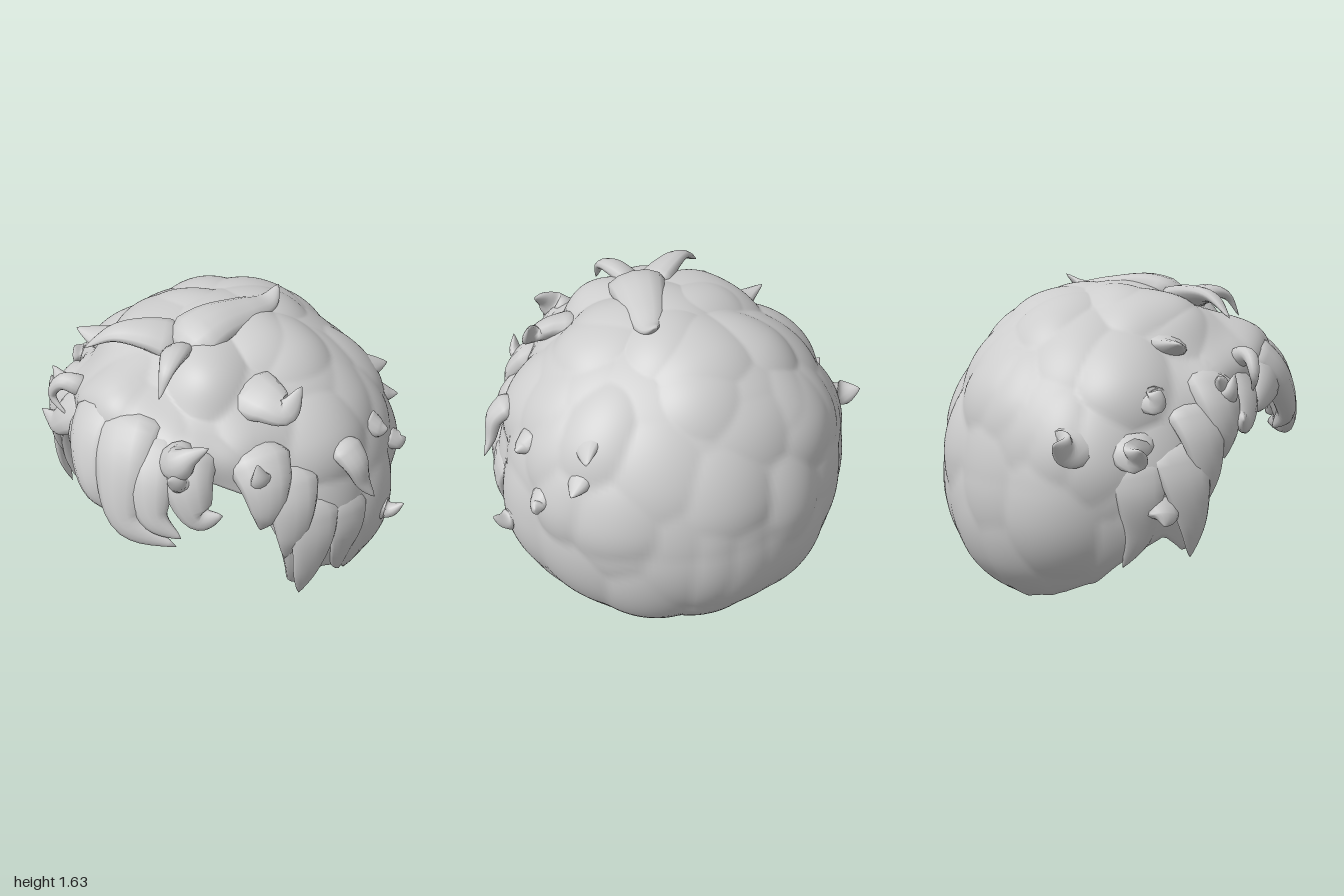
import * as THREE from 'three';
import { mergeVertices } from 'three/addons/utils/BufferGeometryUtils.js';

const C = new THREE.Vector3(0, 0.72, -0.08); // middle of the head
const R = new THREE.Vector3(0.88, 0.85, 0.81); // shell radii before the locks swell it
const V = (p) => new THREE.Vector3(...p);

// Grid of points (closed around each row) turned into a smooth surface
function skin(rows) {
  const n = rows[0].length, pos = [], idx = [];
  rows.forEach((row) => row.forEach((p) => pos.push(p.x, p.y, p.z)));
  for (let i = 0; i < rows.length - 1; i++) {
    for (let j = 0; j < n; j++) {
      const a = i * n + j, b = i * n + ((j + 1) % n);
      idx.push(a, b, a + n, b, b + n, a + n);
    }
  }
  const g = new THREE.BufferGeometry();
  g.setAttribute('position', new THREE.Float32BufferAttribute(pos, 3));
  g.setIndex(idx);
  const m = mergeVertices(g, 1e-4);
  m.computeVertexNormals();
  return m;
}

// Height of the hairline by angle from the front, in degrees
const RIM = [[0, 1.06], [30, 1.04], [44, 0.97], [51, 0.74], [56, 0.43], [60, 0.4], [68, 0.5],
  [84, 0.34], [92, 0.24], [105, 0.17], [120, 0.12], [135, 0.07], [160, 0.035], [180, 0.015]];
function rimTheta(phi) {
  const d = Math.abs(phi) * 180 / Math.PI;
  let i = 0;
  while (i < RIM.length - 2 && d > RIM[i + 1][0]) i++;
  const [a, ya] = RIM[i], [b, yb] = RIM[i + 1];
  const y = ya + (yb - ya) * (d - a) / (b - a) + 0.012 * Math.abs(Math.sin(phi * 8)) * Math.sin(d * Math.PI / 180);
  return Math.acos((y - C.y) / R.y);
}

// Overlapping locks: a dome around each scattered seed, steeper at its lower tip
const seeds = [];
const COUNT = 105;
for (let k = 0; k < COUNT; k++) {
  const y = 1 - (k + 0.5) * 2 / COUNT, r = Math.sqrt(1 - y * y), a = k * 2.39996 + 0.4 * Math.sin(k * 7.1);
  const dir = new THREE.Vector3(r * Math.sin(a), y, r * Math.cos(a));
  const side = new THREE.Vector3(Math.cos(a), 0, -Math.sin(a));
  const down = new THREE.Vector3().crossVectors(dir, side);
  if (down.y > 0) down.negate();
  const h = (0.045 + 0.02 * Math.max(0, dir.z + 0.3 * y)) * (0.9 + 0.35 * Math.sin(k * 12.9));
  seeds.push({ dir, side, down, h, len: y < 0 ? 0.5 : 0.34, wide: 0.27 + 0.05 * Math.sin(k * 5.3) });
}

// Bulges of the fringe: point, height, width
const bulges = [
  [[0, 1.15, 0.7], 0.11, 0.28], [[-0.08, 1.31, 0.62], 0.09, 0.13], [[0.04, 1.18, 0.8], 0.06, 0.15],
  [[0.33, 1.2, 0.7], 0.13, 0.11], [[-0.34, 1.2, 0.6], 0.08, 0.12], [[0.5, 1.17, 0.52], 0.08, 0.11],
  [[-0.54, 1.14, 0.44], 0.07, 0.11], [[0.27, 1.44, 0.42], 0.06, 0.15], [[-0.28, 1.44, 0.34], 0.05, 0.14],
  [[0, 1.5, 0.36], 0.04, 0.16],
].map(([p, h, w]) => ({ dir: V(p).sub(C).divide(R).normalize(), h, w }));

function swell(d, t) {
  let lock = 0;
  for (const s of seeds) {
    if (d.dot(s.dir) < 0.75) continue;
    const u = d.dot(s.down) / s.len, w = d.dot(s.side) / s.wide;
    lock = Math.max(lock, s.h * (1 - u * u * (u > 0 ? 1.7 : 0.7) - w * w + 0.25 * u));
  }
  let fringe = 0;
  for (const b of bulges) fringe += b.h * Math.exp((d.dot(b.dir) - 1) / (b.w * b.w));
  // fuller nape that tucks back in at the hairline
  const low = Math.min(1, Math.max(0, -d.y * 2)) * (0.01 + 0.05 * Math.max(0, -d.z));
  return lock * (1 - 0.5 * Math.pow(t, 12)) + fringe * (1 - 0.6 * Math.pow(t, 10)) + low * (1 - Math.pow(t, 16));
}

// Bumpy outer shell that turns in at the hairline to a smooth lining
function shellGeometry() {
  const rows = [], N = 220, M = 110, K = 40;
  for (let i = 0; i <= M + K + 1; i++) {
    const outer = i <= M, t = outer ? i / M : (M + K + 1 - i) / K;
    const row = [];
    for (let j = 0; j < N; j++) {
      const phi = Math.PI - (j / N) * Math.PI * 2, th = t * (1.1 + (rimTheta(phi) - 1.1) * t * t);
      const d = new THREE.Vector3(Math.sin(th) * Math.sin(phi), Math.cos(th), Math.sin(th) * Math.cos(phi));
      const k = outer ? 1 + swell(d, t) : 0.95 + 0.045 * Math.pow(t, 8) + 0.006 * Math.sin(th) * Math.sin(phi * 7 + th * 4);
      row.push(d.multiply(R).multiplyScalar(k).add(C));
    }
    rows.push(row);
  }
  return skin(rows);
}

// Tapering lock along a curve, flattened against the head, its root sunk into the shell
function lockGeometry(points, r, flat) {
  const path = points.map(V);
  path[0].lerp(C, 0.05);
  const curve = new THREE.CatmullRomCurve3(path), rows = [], S = 20, Q = 12;
  for (let i = 0; i <= S; i++) {
    const t = i / S, p = curve.getPoint(t), T = curve.getTangent(t);
    const out = p.clone().sub(C);
    const n = out.addScaledVector(T, -out.dot(T)).normalize(), b = new THREE.Vector3().crossVectors(T, n);
    const rad = r * Math.pow(1 - t, 0.8) * Math.sqrt(Math.min(1, t / 0.15));
    const row = [];
    for (let j = 0; j < Q; j++) {
      const a = (j / Q) * Math.PI * 2;
      row.push(p.clone().addScaledVector(n, Math.cos(a) * rad * flat).addScaledVector(b, Math.sin(a) * rad));
    }
    rows.push(row);
  }
  return skin(rows);
}

export function createModel() {
  const model = new THREE.Group();
  model.name = 'curlyHair';
  const hair = new THREE.MeshStandardMaterial({ color: 0xcccccc });
  hair.name = 'hairGrey';
  const add = (name, geo, parent) => {
    const m = new THREE.Mesh(geo, hair);
    m.name = name;
    parent.add(m);
  };
  // Each lock: radius, flatness, then the points of its path
  const group = (name, locks) => {
    const g = new THREE.Group();
    g.name = name;
    locks.forEach(([r, flat, ...pts]) => add('lock', lockGeometry(pts, r, flat), g));
    model.add(g);
  };

  add('hairShell', shellGeometry(), model);

  group('fringeLocks', [
    [0.2, 0.6, [-0.16, 1.32, 0.62], [-0.14, 1.16, 0.76], [-0.06, 0.96, 0.85], [0.07, 0.83, 0.8]],
    [0.22, 0.6, [-0.02, 1.32, 0.62], [0.06, 1.14, 0.78], [0.14, 0.88, 0.87], [0.38, 0.8, 0.81]],
    [0.18, 0.6, [0.12, 1.28, 0.62], [0.2, 1.1, 0.77], [0.27, 0.93, 0.83], [0.4, 0.85, 0.8]],
    [0.17, 0.7, [0.28, 1.25, 0.62], [0.36, 1.08, 0.7], [0.44, 0.94, 0.71], [0.54, 0.97, 0.67]],
    [0.18, 0.6, [-0.1, 1.26, 0.62], [-0.22, 1.16, 0.71], [-0.34, 1.06, 0.68], [-0.42, 1.0, 0.64]],
    [0.16, 0.6, [-0.33, 1.2, 0.56], [-0.46, 1.08, 0.58], [-0.58, 0.99, 0.58], [-0.68, 1.02, 0.58]],
    [0.06, 0.8, [-0.36, 1.27, 0.58], [-0.47, 1.28, 0.62], [-0.53, 1.19, 0.64], [-0.43, 1.1, 0.64]],
    [0.11, 0.8, [0.26, 1.2, 0.68], [0.35, 1.22, 0.74], [0.4, 1.27, 0.73], [0.47, 1.32, 0.68]],
    [0.1, 0.8, [0.3, 1.15, 0.66], [0.36, 1.14, 0.76], [0.36, 1.19, 0.84]],
    [0.12, 0.7, [-0.46, 1.2, 0.44], [-0.58, 1.15, 0.48], [-0.7, 1.21, 0.46]],
  ]);

  group('crownCurls', [
    [0.17, 0.5, [0.03, 1.53, 0.38], [0.08, 1.57, 0.16], [0.13, 1.57, -0.06], [0.16, 1.57, -0.2], [0.16, 1.63, -0.29]],
    [0.13, 0.5, [0, 1.53, 0.28], [-0.14, 1.54, 0.36], [-0.27, 1.54, 0.45], [-0.4, 1.45, 0.53]],
    [0.09, 0.6, [0.02, 1.52, 0.34], [0.09, 1.54, 0.45], [0.13, 1.52, 0.55], [0.14, 1.41, 0.62]],
    [0.16, 0.5, [0.34, 1.41, 0.28], [0.5, 1.37, 0.29], [0.6, 1.36, 0.28], [0.63, 1.46, 0.2]],
    [0.16, 0.5, [-0.34, 1.42, 0.16], [-0.52, 1.33, 0.24], [-0.68, 1.36, 0.29]],
    [0.14, 0.5, [0.48, 1.3, -0.35], [0.57, 1.22, -0.48], [0.63, 1.2, -0.61]],
  ]);

  // Curtains of locks in front of each ear
  [1, -1].forEach((s) => group(s > 0 ? 'leftSideLocks' : 'rightSideLocks', [
    [0.17, 0.5, [s * 0.52, 1.24, 0.42], [s * 0.63, 1.07, 0.47], [s * 0.66, 0.93, 0.5], [s * 0.63, 0.82, 0.5]],
    [0.17, 0.4, [s * 0.66, 1.12, 0.34], [s * 0.73, 0.95, 0.39], [s * 0.75, 0.78, 0.42], [s * 0.72, 0.64, 0.42]],
    [0.17, 0.3, [s * 0.78, 0.95, 0.28], [s * 0.81, 0.75, 0.32], [s * 0.8, 0.55, 0.35], [s * 0.76, 0.38, 0.34]],
    [0.16, 0.3, [s * 0.86, 0.9, 0.08], [s * 0.87, 0.7, 0.11], [s * 0.84, 0.5, 0.1], [s * 0.8, 0.34, 0.03]],
    [0.09, 0.7, [s * 0.58, 1.1, 0.43], [s * 0.63, 1.12, 0.51], [s * 0.63, 1.22, 0.54]],
  ]));

  // Short upturned tips scattered over the sides
  group('sideTips', [
    [0.1, 0.6, [0.8, 1.18, 0.08], [0.87, 1.07, 0.08], [0.91, 0.96, 0.06], [0.96, 0.88, 0.03]],
    [0.09, 0.8, [0.86, 0.67, -0.18], [0.93, 0.64, -0.2], [1, 0.7, -0.22]],
    [0.09, 0.7, [0.77, 1.14, -0.2], [0.82, 1.08, -0.22], [0.86, 1.08, -0.24]],
    [0.09, 0.7, [0.61, 1.12, -0.5], [0.66, 1.05, -0.56], [0.71, 1.04, -0.61]],
    [0.08, 0.7, [0.79, 0.94, -0.4], [0.83, 0.89, -0.44], [0.85, 0.9, -0.47]],
    [0.16, 0.5, [-0.8, 0.98, -0.14], [-0.9, 0.92, -0.21], [-1, 0.96, -0.27]],
    [0.15, 0.5, [-0.82, 0.95, 0.05], [-0.89, 0.89, 0.08], [-0.97, 0.93, 0.11]],
    [0.12, 0.5, [-0.82, 0.71, 0.18], [-0.87, 0.61, 0.22], [-0.91, 0.57, 0.22]],
    [0.12, 0.5, [-0.71, 1.17, 0.11], [-0.78, 1.12, 0.17], [-0.8, 1.17, 0.2]],
  ]);
  return model;
}
